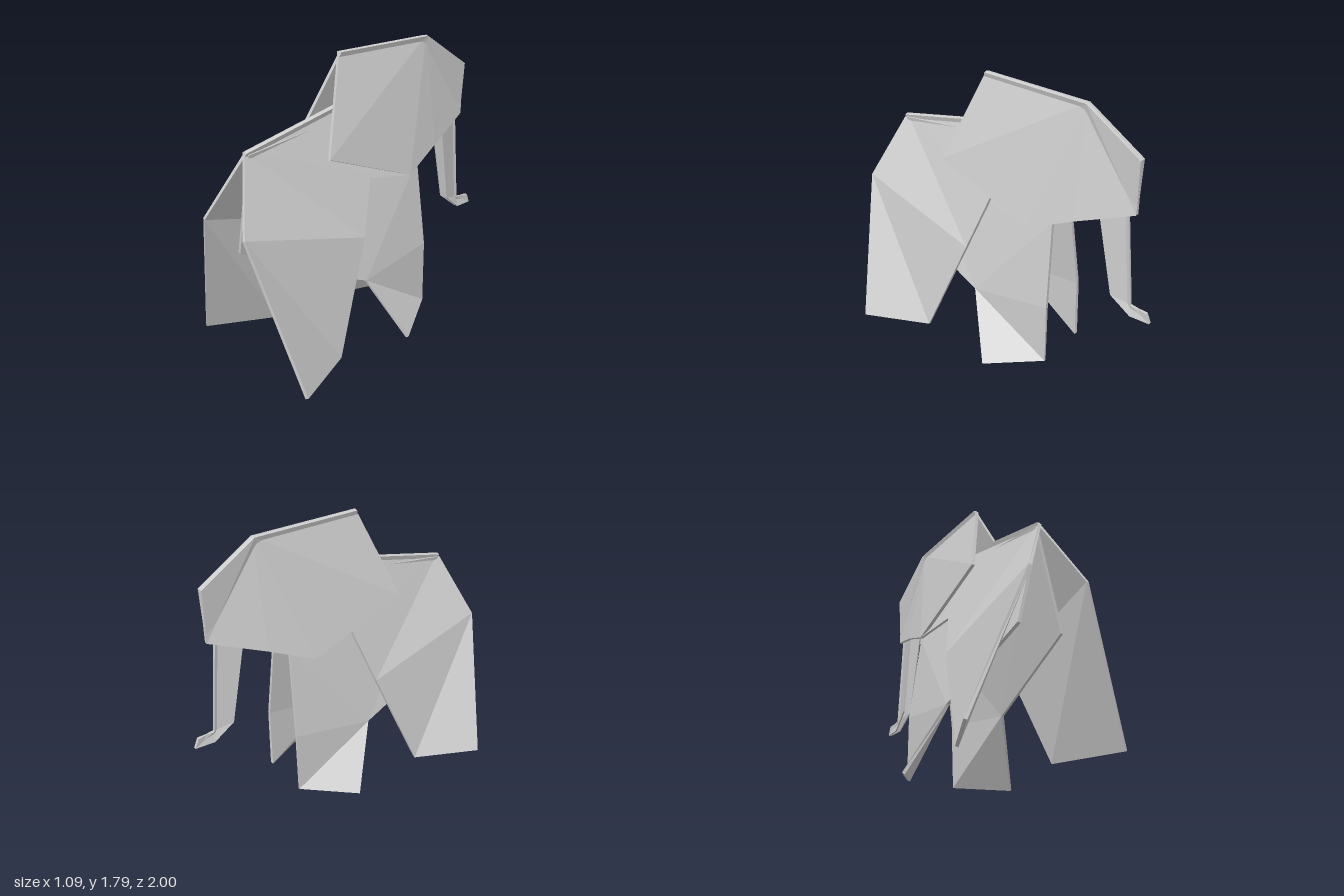
import * as THREE from 'three';

const material = new THREE.MeshStandardMaterial({ color: 0xcccccc, flatShading: true, side: THREE.DoubleSide });

// A folded sheet of thickness t: outer facets, inner facets and a rim.
// Points are for the +x half; side = -1 mirrors them.
function sheet(points, tris, t, side) {
  const p = points.map(([x, y, z]) => new THREE.Vector3(x * side, y, z));
  const normals = p.map(() => new THREE.Vector3());
  // turn every facet so that it faces away from the middle
  const faces = tris.map(([a, b, c]) => {
    const n = p[b].clone().sub(p[a]).cross(p[c].clone().sub(p[a])).normalize();
    const flip = n.x * side < 0;
    if (flip) n.negate();
    for (const i of [a, b, c]) normals[i].add(n);
    return flip ? [a, c, b] : [a, b, c];
  });
  const inner = p.map((v, i) => v.clone().addScaledVector(normals[i].normalize(), -t));
  const out = [];
  const add = (...vs) => vs.forEach((v) => out.push(v.x, v.y, v.z));
  const edges = new Set(faces.flatMap(([a, b, c]) => [`${a},${b}`, `${b},${c}`, `${c},${a}`]));
  for (const [a, b, c] of faces) {
    add(p[a], p[b], p[c]);
    add(inner[a], inner[c], inner[b]);
    for (const [i, j] of [[a, b], [b, c], [c, a]]) {
      if (edges.has(`${j},${i}`)) continue;
      add(p[i], inner[i], inner[j]);
      add(p[i], inner[j], p[j]);
    }
  }
  const g = new THREE.BufferGeometry();
  g.setAttribute('position', new THREE.Float32BufferAttribute(out, 3));
  g.computeVertexNormals();
  return g;
}

// Half panels, mirrored across the fold along the back
const panels = {
  // rump and hind leg
  hindPanel: {
    t: 0.02,
    points: [
      [0, 1.325, 0.822], [0.205, 0.915, 0.98], [0.525, 0.03, 0.82], [0.33, 0.03, 0.416],
      [0.23, 0.7, 0.15], [0.14, 1.05, 0.03], [0, 1.52, -0.02],
    ],
    tris: [[0, 1, 4], [0, 4, 5], [0, 5, 6], [1, 2, 3], [1, 3, 4]],
  },
  // inner flank running forward into the front leg and its turned-out foot
  frontLegPanel: {
    t: 0.02,
    points: [
      [0, 1.31, 0.81], [0.155, 0.66, 0.79], [0.205, 0.39, 0.11], [0.175, 0.06, -0.42],
      [0.17, 0.47, -0.42], [0.1, 1.03, -0.4], [0, 1.47, -0.39], [0.383, 0, -0.09],
    ],
    tris: [[0, 1, 2], [0, 2, 5], [0, 5, 6], [2, 4, 5], [2, 3, 4], [2, 7, 3]],
  },
  // head side and ear
  ear: {
    t: 0.02,
    points: [
      [0, 1.78, 0.154], [0, 1.78, -0.545], [0, 1.555, -0.893], [0.012, 1.22, -0.886],
      [0.11, 1.1, -0.55], [0.178, 0.98, -0.268], [0.175, 1.22, 0.368],
    ],
    tris: [[0, 6, 1], [1, 6, 5], [1, 5, 4], [1, 4, 3], [1, 3, 2]],
  },
  // small flap tucked under the ear
  neckFlap: {
    t: 0.015,
    points: [[0.175, 0.98, -0.26], [0.125, 1.02, 0.06], [0.02, 1.5, -0.1]],
    tris: [[0, 1, 2]],
  },
  // trunk with a curled tip
  trunk: {
    t: 0.01,
    points: [
      [0, 1.3, -0.83], [0.045, 1.2, -0.67], [0.03, 0.65, -0.77], [0.018, 0.55, -0.9],
      [0.01, 0.55, -1.025], [0.01, 0.61, -1.0], [0, 0.62, -0.895],
    ],
    tris: [[0, 1, 2], [0, 2, 6], [2, 3, 6], [6, 3, 4], [6, 4, 5]],
  },
};

export function createModel() {
  const model = new THREE.Group();
  model.name = 'foldedElephant';
  const body = new THREE.Group();
  body.name = 'body';
  for (const [name, { points, tris, t }] of Object.entries(panels)) {
    for (const side of [1, -1]) {
      const mesh = new THREE.Mesh(sheet(points, tris, t, side), material);
      mesh.name = name + (side > 0 ? 'Left' : 'Right');
      body.add(mesh);
    }
  }
  // the whole figure stands turned a little
  body.rotation.y = -0.231;
  body.position.x = 0.155;
  model.add(body);
  return model;
}
